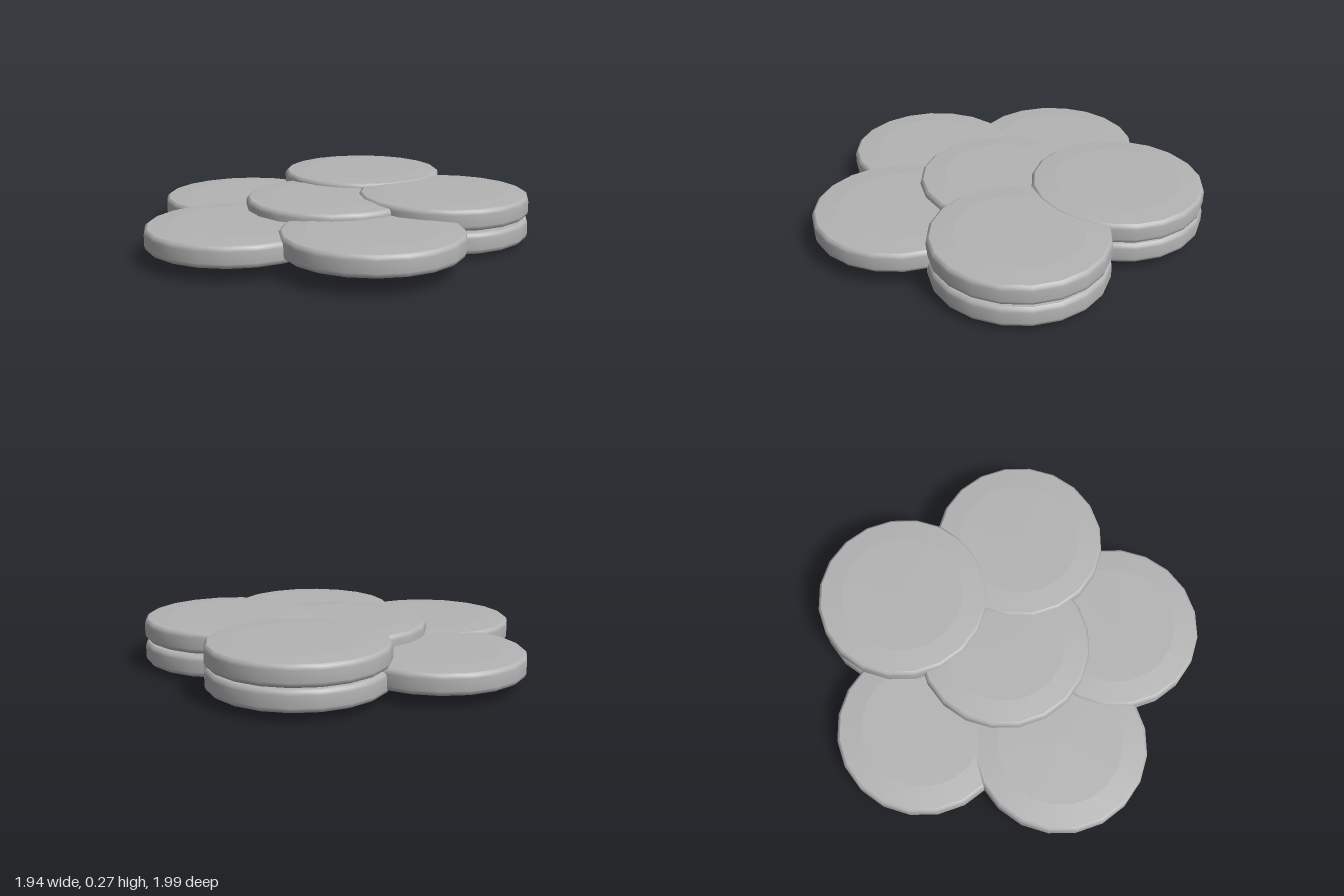
import * as THREE from 'three';
import { mergeGeometries } from 'three/addons/utils/BufferGeometryUtils.js';

const SIDES = 20;

// Each profile is turned separately, so the edges between them stay sharp.
// Points run from the bottom centre, outwards, up to the top centre.
const PROFILES = [
  [[0, -0.06], [0.315, -0.06]],
  [[0.315, -0.06], [0.426, -0.052]],
  [[0.426, -0.052], [0.437, -0.044], [0.442, -0.028], [0.442, 0.028], [0.437, 0.044], [0.426, 0.052]],
  [[0.426, 0.052], [0.315, 0.06]],
  [[0.315, 0.06], [0, 0.06]],
];

function discGeometry() {
  return mergeGeometries(PROFILES.map((profile) =>
    new THREE.LatheGeometry(profile.map(([r, y]) => new THREE.Vector2(r, y)), SIDES)));
}

// Name and centre of every disc in the pile
const DISCS = [
  ['bottomCentreDisc', -0.06, 0.06, 0],
  ['lowerLeftDisc', 0.526, 0.08, 0],
  ['lowerBackDisc', 0.122, 0.098, -0.558],
  ['backRightDisc', -0.53, 0.115, -0.343],
  ['frontRightDisc', -0.526, 0.122, 0.347],
  ['frontDisc', 0.132, 0.14, 0.551],
  ['upperCentreDisc', -0.058, 0.18, 0],
  ['upperLeftDisc', 0.526, 0.198, 0],
  ['upperBackDisc', 0.122, 0.21, -0.558],
];

export function createModel() {
  const group = new THREE.Group();
  group.name = 'discPile';
  const grey = new THREE.MeshStandardMaterial({ color: 0xb3b3b3 });
  grey.name = 'grey';
  const geometry = discGeometry();
  for (const [name, x, y, z] of DISCS) {
    const disc = new THREE.Mesh(geometry, grey);
    disc.name = name;
    disc.position.set(x, y, z);
    group.add(disc);
  }
  return group;
}
